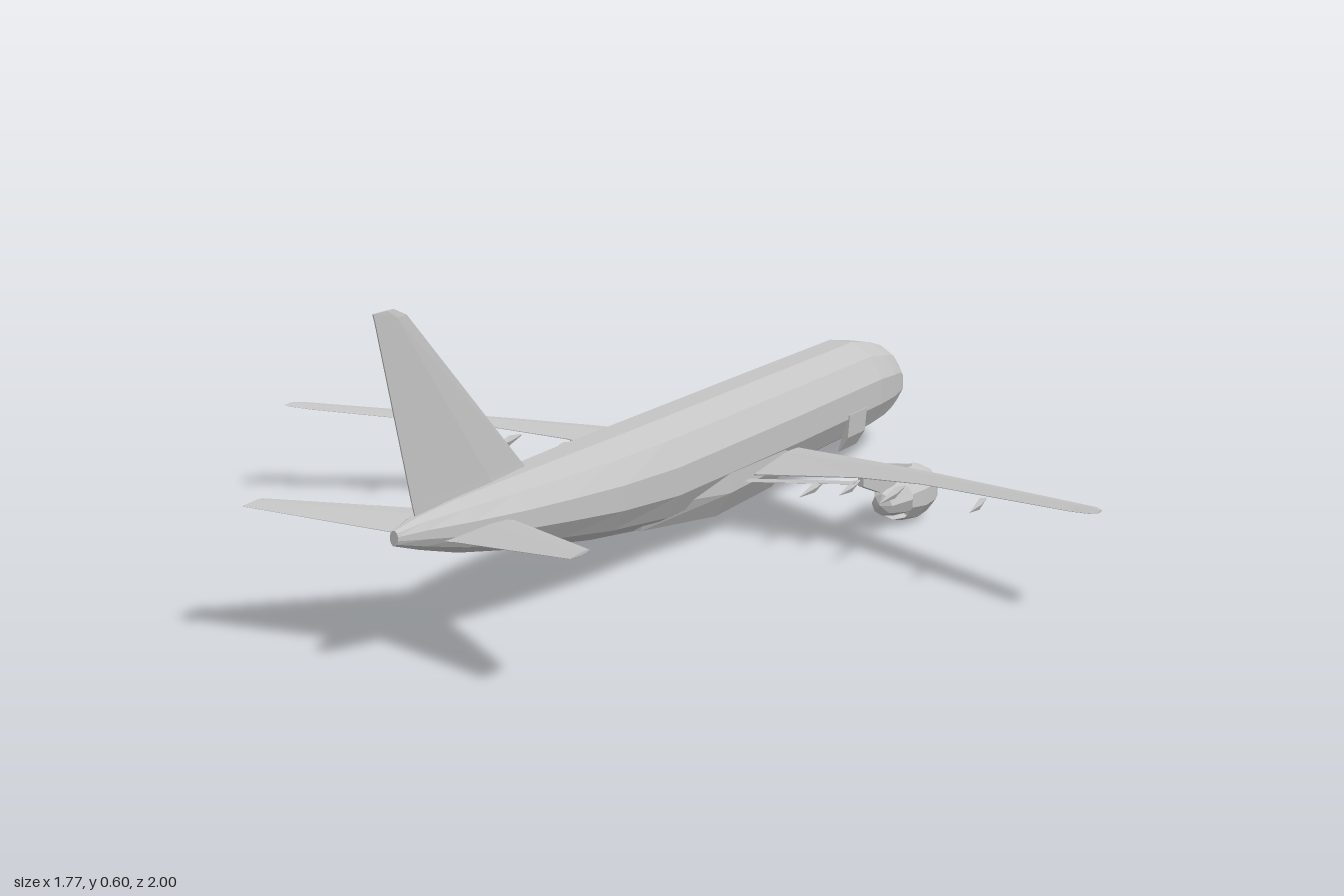
import * as THREE from 'three';

const skin = new THREE.MeshStandardMaterial({ color: 0xc4c4c4, side: THREE.DoubleSide, flatShading: true });
skin.name = 'light grey skin';

function addMesh(parent, name, geometry) {
  const mesh = new THREE.Mesh(geometry, skin);
  mesh.name = name;
  parent.add(mesh);
  return mesh;
}

// Closed skin over rings of [x, y, z] points, wound outward whatever the ring order
function loft(rings) {
  const tris = [];
  const n = rings[0].length;
  for (let i = 0; i < rings.length - 1; i++) {
    for (let j = 0; j < n; j++) {
      const k = (j + 1) % n;
      const a = rings[i][j], b = rings[i][k], c = rings[i + 1][k], d = rings[i + 1][j];
      tris.push([a, b, c], [a, c, d]);
    }
  }
  const last = rings[rings.length - 1];
  for (let j = 1; j < n - 1; j++) {
    tris.push([rings[0][0], rings[0][j + 1], rings[0][j]], [last[0], last[j], last[j + 1]]);
  }
  let volume = 0;
  for (const [a, b, c] of tris) {
    volume += new THREE.Vector3(...a).dot(new THREE.Vector3(...b).cross(new THREE.Vector3(...c)));
  }
  if (volume < 0) tris.forEach((t) => t.reverse());
  const geometry = new THREE.BufferGeometry();
  geometry.setAttribute('position', new THREE.Float32BufferAttribute(tris.flat(2), 3));
  geometry.computeVertexNormals();
  return geometry;
}

// Wing section at x: leading edge, thickest point, trailing edge
function foil(x, y, front, back, thick) {
  const at = (f, h) => [x, y + h * thick, front + (back - front) * f];
  return [at(0, 0), at(0.12, 0.38), at(0.4, 0.5), at(1, 0.04), at(1, -0.04), at(0.4, -0.5), at(0.12, -0.38)];
}

// Fuselage section: faceted oval between a bottom and a top height
function oval(z, half, bottom, top) {
  const ring = [];
  for (let i = 0; i < 12; i++) {
    const a = ((i + 0.5) / 12) * Math.PI * 2;
    ring.push([(half * Math.sin(a)) / Math.sin(Math.PI * 5 / 12),
      (top + bottom) / 2 + ((top - bottom) / 2) * Math.cos(a) / Math.cos(Math.PI / 12), z]);
  }
  return ring;
}

// Faceted barrel along z from [z, radius] pairs
function barrel(points, sides) {
  const profile = points.map(([z, r]) => new THREE.Vector2(r, z));
  return new THREE.LatheGeometry(profile, sides).rotateX(Math.PI / 2);
}

function buildEngine(side) {
  const engine = new THREE.Group();
  engine.name = side > 0 ? 'leftEngine' : 'rightEngine';
  engine.position.set(side * 0.327, 0.063, 0);
  addMesh(engine, 'nacelle', barrel([[-0.385, 0.046], [-0.36, 0.053], [-0.31, 0.055], [-0.265, 0.044]], 10));
  addMesh(engine, 'core', barrel([[-0.33, 0.044], [-0.27, 0.036], [-0.21, 0.022], [-0.2, 0]], 8));
  addMesh(engine, 'fanHub', barrel([[-0.37, 0], [-0.34, 0.016], [-0.325, 0.018]], 8));
  for (let i = 0; i < 10; i++) {
    const blade = addMesh(engine, 'fanBlade', new THREE.BoxGeometry(0.012, 0.036, 0.003).translate(0, 0.032, 0).rotateY(0));
    blade.position.z = -0.335;
    blade.rotation.z = (i / 10) * Math.PI * 2;
  }
  // Pylon reaching back under the wing
  const strut = (z, bottom, top) => [[-0.006, bottom, z], [0.006, bottom, z], [0.006, top, z], [-0.006, top, z]];
  addMesh(engine, 'pylon', loft([strut(-0.34, 0.045, 0.055), strut(-0.25, 0.03, 0.075), strut(-0.19, 0.03, 0.085), strut(-0.11, 0.06, 0.08)]));
  return engine;
}

function buildWing(side) {
  const wing = new THREE.Group();
  wing.name = side > 0 ? 'leftWing' : 'rightWing';
  addMesh(wing, 'wingPanel', loft([
    foil(side * 0.04, 0.115, -0.36, -0.1, 0.034),
    foil(side * 0.1, 0.12, -0.33, -0.1, 0.032),
    foil(side * 0.33, 0.145, -0.21, -0.09, 0.02),
    foil(side * 0.48, 0.16, -0.132, -0.05, 0.014),
    foil(side * 0.83, 0.19, 0.05, 0.105, 0.008),
    foil(side * 0.87, 0.195, 0.075, 0.122, 0.006),
    foil(side * 0.885, 0.197, 0.095, 0.125, 0.004),
  ]));
  // Inboard flap just behind the trailing edge
  addMesh(wing, 'flap', loft([foil(side * 0.09, 0.113, -0.085, -0.062, 0.006), foil(side * 0.33, 0.138, -0.085, -0.062, 0.005)]));
  // Pointed flap track fairings
  for (const [x, y, z, length] of [[0.25, 0.125, -0.11, 0.11], [0.325, 0.134, -0.11, 0.09], [0.433, 0.144, -0.08, 0.115], [0.63, 0.163, 0, 0.075]]) {
    const tip = (f, w, h) => [[-w, 0], [0, h], [w, 0], [0, -h]].map(([dx, dy]) => [side * x + dx, y + dy - f * 0.008, z + f * length]);
    addMesh(wing, 'flapFairing', loft([tip(0, 0.001, 0.002), tip(0.4, 0.005, 0.011), tip(1, 0.0005, 0.001)]));
  }
  return wing;
}

export function createModel() {
  const plane = new THREE.Group();
  plane.name = 'airliner';

  // Fuselage: z, half width, bottom, top
  addMesh(plane, 'fuselage', loft([
    [-1, 0.004, 0.143, 0.153], [-0.97, 0.027, 0.11, 0.178], [-0.93, 0.048, 0.093, 0.202],
    [-0.87, 0.068, 0.082, 0.24], [-0.8, 0.086, 0.075, 0.259], [-0.7, 0.1, 0.071, 0.277],
    [-0.3, 0.101, 0.068, 0.276], [0.2, 0.1, 0.073, 0.274], [0.4, 0.098, 0.1, 0.274],
    [0.55, 0.087, 0.127, 0.273], [0.68, 0.071, 0.15, 0.271], [0.8, 0.048, 0.175, 0.267],
    [0.9, 0.024, 0.204, 0.26], [0.96, 0.008, 0.224, 0.25],
  ].map((s) => oval(...s))));

  // Flat belly fairing between the wings
  const belly = (z, half, bottom, top) => [[-half, top, z], [half, top, z], [half, bottom + 0.05, z],
    [half * 0.68, bottom, z], [-half * 0.68, bottom, z], [-half, bottom + 0.05, z]];
  addMesh(plane, 'bellyFairing', loft([
    belly(-0.4, 0.06, 0.075, 0.13), belly(-0.24, 0.099, 0.06, 0.16),
    belly(0, 0.1, 0.055, 0.16), belly(0.25, 0.065, 0.082, 0.14),
  ]));

  // Cargo door plate on the left side
  const door = (z) => [[0.101, 0.155, z], [0.104, 0.155, z], [0.1, 0.105, z], [0.08, 0.073, z], [0.077, 0.073, z], [0.096, 0.105, z]];
  addMesh(plane, 'cargoDoor', loft([door(-0.615), door(-0.53)]));

  // Tail fin: height sections with a tapering diamond plan
  const finRing = (y, front, back, t) => [[0, y, front], [t, y, front + (back - front) * 0.35], [0.001, y, back],
    [-0.001, y, back], [-t, y, front + (back - front) * 0.35]];
  addMesh(plane, 'tailFin', loft([
    finRing(0.255, 0.55, 0.9, 0.009), finRing(0.28, 0.58, 0.908, 0.008),
    finRing(0.595, 0.91, 0.995, 0.003), finRing(0.61, 0.945, 1, 0.002),
  ]));

  for (const side of [1, -1]) {
    plane.add(buildWing(side), buildEngine(side));
    addMesh(plane, side > 0 ? 'leftTailplane' : 'rightTailplane', loft([
      foil(side * 0.015, 0.21, 0.675, 0.86, 0.016),
      foil(side * 0.055, 0.215, 0.7, 0.867, 0.014),
      foil(side * 0.323, 0.245, 0.885, 0.945, 0.005),
    ]));
  }
  return plane;
}
